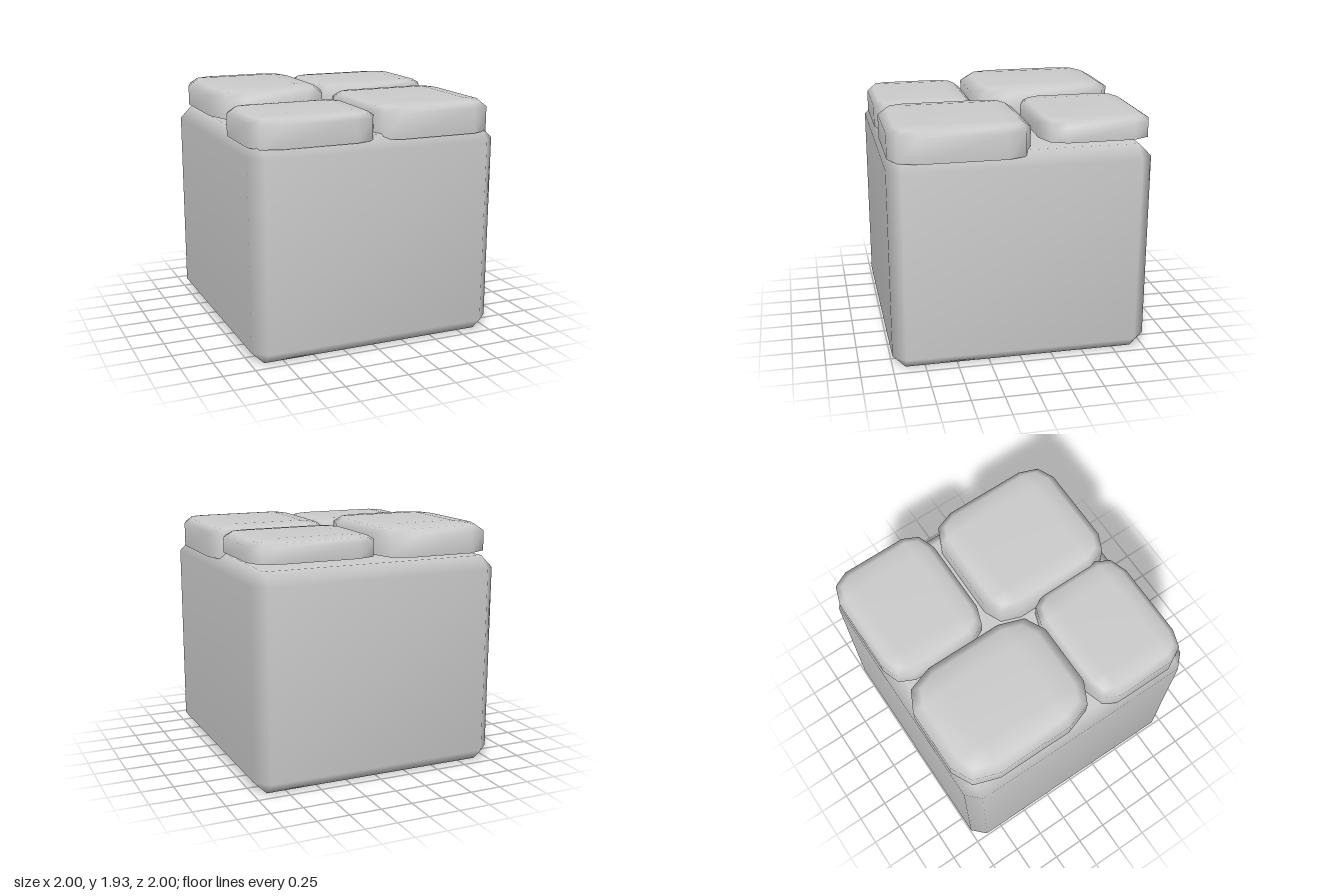
import * as THREE from 'three';
import { mergeVertices } from 'three/addons/utils/BufferGeometryUtils.js';

// Stack of rounded-rectangle rings [y, k]; k scales the corner radius (1 = full outline, 0 = inner rectangle).
function ringSolid({ x, z, rx, rz, segs, rings, closedBottom }) {
  const pos = [], index = [];
  const n = 4 * (segs + 1);
  const cx = (x[0] + x[1]) / 2, cz = (z[0] + z[1]) / 2;
  const ix = (x[1] - x[0]) / 2 - rx, iz = (z[1] - z[0]) / 2 - rz;
  const signs = [[1, 1], [-1, 1], [-1, -1], [1, -1]];
  for (const [y, k] of rings) {
    signs.forEach(([sx, sz], corner) => {
      for (let s = 0; s <= segs; s++) {
        const a = (corner + s / segs) * Math.PI / 2;
        pos.push(cx + sx * ix + k * rx * Math.cos(a), y, cz + sz * iz + k * rz * Math.sin(a));
      }
    });
  }
  for (let r = 0; r < rings.length - 1; r++) {
    for (let i = 0; i < n; i++) {
      const l = r * n + i, l2 = r * n + (i + 1) % n;
      index.push(l, l + n, l2, l + n, l2 + n, l2);
    }
  }
  const c = segs + 1, t = (rings.length - 1) * n;
  index.push(t, t + 2 * c, t + c, t, t + 3 * c, t + 2 * c);
  if (closedBottom) index.push(0, c, 2 * c, 0, 2 * c, 3 * c);

  let geo = new THREE.BufferGeometry();
  geo.setAttribute('position', new THREE.Float32BufferAttribute(pos, 3));
  geo.setIndex(index);
  geo = mergeVertices(geo, 1e-4);
  geo.computeVertexNormals();
  return geo;
}

export function createModel() {
  const group = new THREE.Group();
  const solid = new THREE.MeshStandardMaterial({ color: 0xcccccc });
  const shell = new THREE.MeshStandardMaterial({ color: 0xcccccc, side: THREE.DoubleSide });

  const add = (name, geo, mat) => {
    const mesh = new THREE.Mesh(geo, mat);
    mesh.name = name;
    group.add(mesh);
  };

  // Chamfered block
  add('block', ringSolid({
    x: [-1, 1], z: [-1, 1], rx: 0.1, rz: 0.1, segs: 1, closedBottom: true,
    rings: [[0, 0], [0.1, 1], [1.57, 1], [1.67, 0]],
  }), solid);

  // Four paving slabs: open underneath, with softly rounded top edges
  const slabs = [
    { name: 'slabBackRight', x: [-0.97, -0.02], z: [-1, 0.17], rx: 0.23, rz: 0.28, y: [1.71, 1.865, 1.93] },
    { name: 'slabFrontRight', x: [-0.97, 0.02], z: [0.18, 0.98], rx: 0.2, rz: 0.16, y: [1.63, 1.8, 1.855] },
    { name: 'slabFrontLeft', x: [0, 0.99], z: [-0.09, 0.98], rx: 0.19, rz: 0.21, y: [1.63, 1.82, 1.88] },
    { name: 'slabBackLeft', x: [0, 1], z: [-1, -0.15], rx: 0.2, rz: 0.17, y: [1.73, 1.845, 1.89] },
  ];
  for (const { name, x, z, rx, rz, y: [bottom, shoulder, top] } of slabs) {
    const rings = [[bottom, 1], [shoulder, 1], [shoulder + (top - shoulder) * 0.707, 0.707], [top, 0]];
    add(name, ringSolid({ x, z, rx, rz, segs: 2, rings }), shell);
  }
  return group;
}
